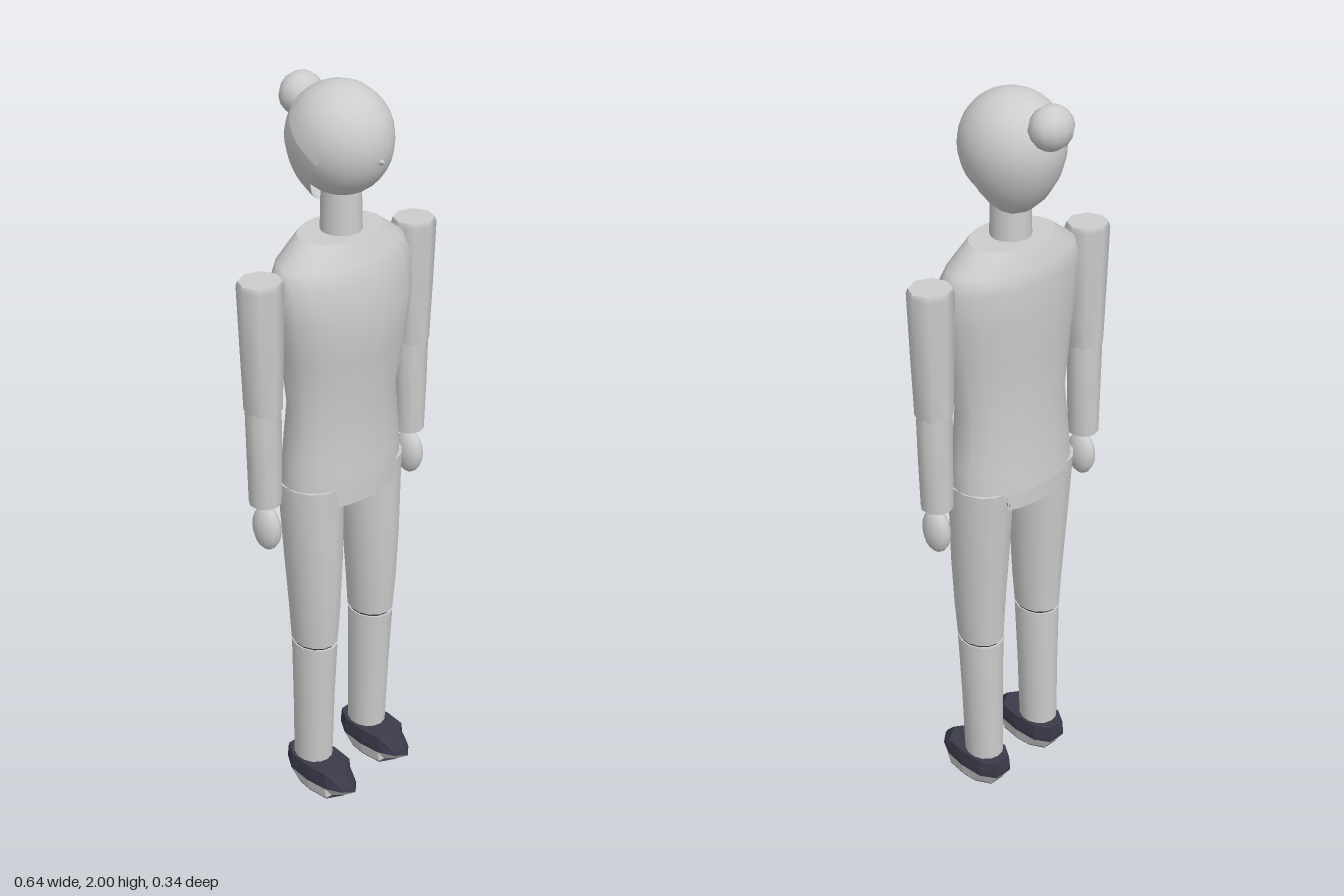
import * as THREE from 'three';

const grey = new THREE.MeshStandardMaterial({ color: 0xcccccc, side: THREE.DoubleSide });
grey.name = 'light grey';
const navy = new THREE.MeshStandardMaterial({ color: 0x3a3a4a, side: THREE.DoubleSide });
navy.name = 'dark navy';

// Surface through oval sections [y, half width, front depth, back depth], optionally only an arc of them
function loft(rows, n = 16, { from = 0, to = Math.PI * 2, caps = true } = {}) {
  const closed = to - from > 6.28;
  const cols = closed ? n : n + 1;
  const pos = [], index = [];
  const point = ([y, w, front, back], i) => {
    const a = from + (to - from) * i / n, c = Math.cos(a);
    pos.push(w * Math.sin(a), y, c * (front + back) / 2 + (front - back) / 2);
  };
  rows.forEach(r => { for (let i = 0; i < cols; i++) point(r, i); });
  for (let j = 0; j < rows.length - 1; j++) {
    for (let i = 0; i < n; i++) {
      const a = j * cols + i, b = j * cols + (i + 1) % cols;
      index.push(a, b, a + cols, b, b + cols, a + cols);
    }
  }
  // Caps have their own corners so the rims stay sharp
  if (caps && closed) {
    [rows[0], rows[rows.length - 1]].forEach((r, end) => {
      const base = pos.length / 3;
      for (let i = 0; i < n; i++) point(r, i);
      for (let i = 1; i < n - 1; i++) {
        if (end) index.push(base, base + i, base + i + 1);
        else index.push(base, base + i + 1, base + i);
      }
    });
  }
  const g = new THREE.BufferGeometry();
  g.setAttribute('position', new THREE.Float32BufferAttribute(pos, 3));
  g.setIndex(index);
  g.computeVertexNormals();
  return g;
}

export function createModel() {
  const model = new THREE.Group();
  model.name = 'figure';
  const add = (parent, name, geometry, material = grey, x = 0, y = 0, z = 0) => {
    const m = new THREE.Mesh(geometry, material);
    m.name = name;
    m.position.set(x, y, z);
    parent.add(m);
    return m;
  };

  // Torso with front and back tails
  add(model, 'torso', loft([
    [0.98, 0.185, 0.12, 0.108], [1.05, 0.182, 0.119, 0.102], [1.2, 0.166, 0.112, 0.092],
    [1.35, 0.187, 0.134, 0.1], [1.46, 0.204, 0.14, 0.106], [1.55, 0.211, 0.125, 0.106],
    [1.59, 0.19, 0.11, 0.1], [1.64, 0.12, 0.088, 0.08],
  ], 20));
  const tail = [[0.94, 0.185, 0.12, 0.108], [0.985, 0.185, 0.12, 0.108]];
  add(model, 'frontTail', loft(tail, 6, { from: -0.6, to: 0.6 }));
  add(model, 'backTail', loft(tail, 6, { from: Math.PI - 0.6, to: Math.PI + 0.6 }));
  add(model, 'crotchPanel', new THREE.BoxGeometry(0.2, 0.008, 0.18), navy, 0, 0.955, 0);

  // Head, neck and nose
  add(model, 'neck', new THREE.CylinderGeometry(0.048, 0.052, 0.16, 16), grey, 0, 1.69, 0.008);
  const head = new THREE.SphereGeometry(1, 24, 18);
  head.scale(0.12, 0.133, 0.129);
  add(model, 'head', head, grey, 0, 1.864, 0.008);
  const nose = new THREE.ConeGeometry(0.012, 0.02, 6);
  nose.rotateX(Math.PI / 2);
  add(model, 'nose', nose, grey, 0, 1.838, 0.137);

  // Hair: a tilted cap, drawn down at the nape, and a bun
  const hair = new THREE.SphereGeometry(0.131, 24, 16, 0, Math.PI * 2, 0, 1.97);
  hair.rotateX(-0.927);
  const p = hair.attributes.position;
  for (let i = 0; i < p.count; i++) {
    const y = p.getY(i);
    p.setX(i, p.getX(i) * 0.96);
    if (y < 0) p.setY(i, y * (1 - 2.3 * y));
  }
  hair.computeVertexNormals();
  add(model, 'hair', hair, grey, 0, 1.868, 0.003);
  const bun = new THREE.SphereGeometry(1, 12, 8);
  bun.scale(0.058, 0.053, 0.05);
  add(model, 'hairBun', bun, grey, 0, 1.939, -0.122);

  for (const side of [1, -1]) {
    const label = side > 0 ? 'left' : 'right';

    // Arm
    const arm = new THREE.Group();
    arm.name = label + 'Arm';
    arm.position.x = side * 0.262;
    model.add(arm);
    add(arm, 'upperArm', loft([
      [1.25, 0.048, 0.05, 0.043], [1.42, 0.053, 0.056, 0.048],
      [1.575, 0.057, 0.06, 0.052], [1.588, 0.053, 0.056, 0.048],
    ], 8));
    add(arm, 'forearm', loft([
      [0.987, 0.041, 0.044, 0.04], [1.12, 0.044, 0.047, 0.041], [1.255, 0.046, 0.048, 0.042],
    ], 10));
    const hand = new THREE.SphereGeometry(1, 12, 10);
    hand.scale(0.029, 0.063, 0.044);
    add(arm, 'hand', hand, grey, 0, 0.913, 0.006);

    // Leg
    const leg = new THREE.Group();
    leg.name = label + 'Leg';
    leg.position.x = side * 0.107;
    model.add(leg);
    add(leg, 'thigh', loft([
      [0.498, 0.058, 0.082, 0.052], [0.6, 0.064, 0.09, 0.057],
      [0.75, 0.072, 0.096, 0.068], [0.99, 0.08, 0.098, 0.086],
    ], 14));
    add(leg, 'kneeBand', loft([[0.488, 0.053, 0.076, 0.046], [0.5, 0.053, 0.076, 0.046]], 14), navy);
    add(leg, 'shin', loft([
      [0.095, 0.051, 0.063, 0.05], [0.3, 0.053, 0.072, 0.05], [0.49, 0.057, 0.083, 0.052],
    ], 14));

    // Shoe: pointed upper, tapering pale sole, dark tread
    const outline = (heel, toe, w) => {
      const s = new THREE.Shape();
      const half = [[0.45, heel], [0.9, heel + 0.04], [1, 0.04], [0.88, 0.1], [0.5, toe - 0.025]];
      s.moveTo(0, toe);
      half.slice().reverse().forEach(([x, z]) => s.lineTo(x * w, z));
      half.forEach(([x, z]) => s.lineTo(-x * w, z));
      s.closePath();
      return s.getPoints().slice(0, 11);
    };
    const shoePart = (levels, bottom, top) => {
      const pos = [];
      const rings = levels.map(([y, heel, toe, w]) => outline(heel, toe, w).map(q => [q.x, y, q.y]));
      for (let j = 0; j < rings.length - 1; j++) {
        for (let i = 0; i < 11; i++) {
          const k = (i + 1) % 11, a = rings[j], b = rings[j + 1];
          pos.push(...a[i], ...a[k], ...b[i], ...a[k], ...b[k], ...b[i]);
        }
      }
      for (let i = 1; i < 10; i++) {
        const a = rings[0], b = rings[rings.length - 1];
        if (bottom) pos.push(...a[0], ...a[i + 1], ...a[i]);
        if (top) pos.push(...b[0], ...b[i], ...b[i + 1]);
      }
      const g = new THREE.BufferGeometry();
      g.setAttribute('position', new THREE.Float32BufferAttribute(pos, 3));
      g.computeVertexNormals();
      return g;
    };
    add(leg, 'shoeUpper', shoePart([
      [0.04, -0.07, 0.17, 0.058], [0.055, -0.07, 0.163, 0.058], [0.088, -0.068, 0.132, 0.054],
    ], false, true), navy);
    add(leg, 'shoeSole', shoePart([[0.003, -0.045, 0.128, 0.051], [0.04, -0.07, 0.17, 0.058]], false, false));
    add(leg, 'shoeTread', shoePart([[0, -0.044, 0.126, 0.05], [0.003, -0.045, 0.128, 0.051]], true, false), navy);
  }
  return model;
}
